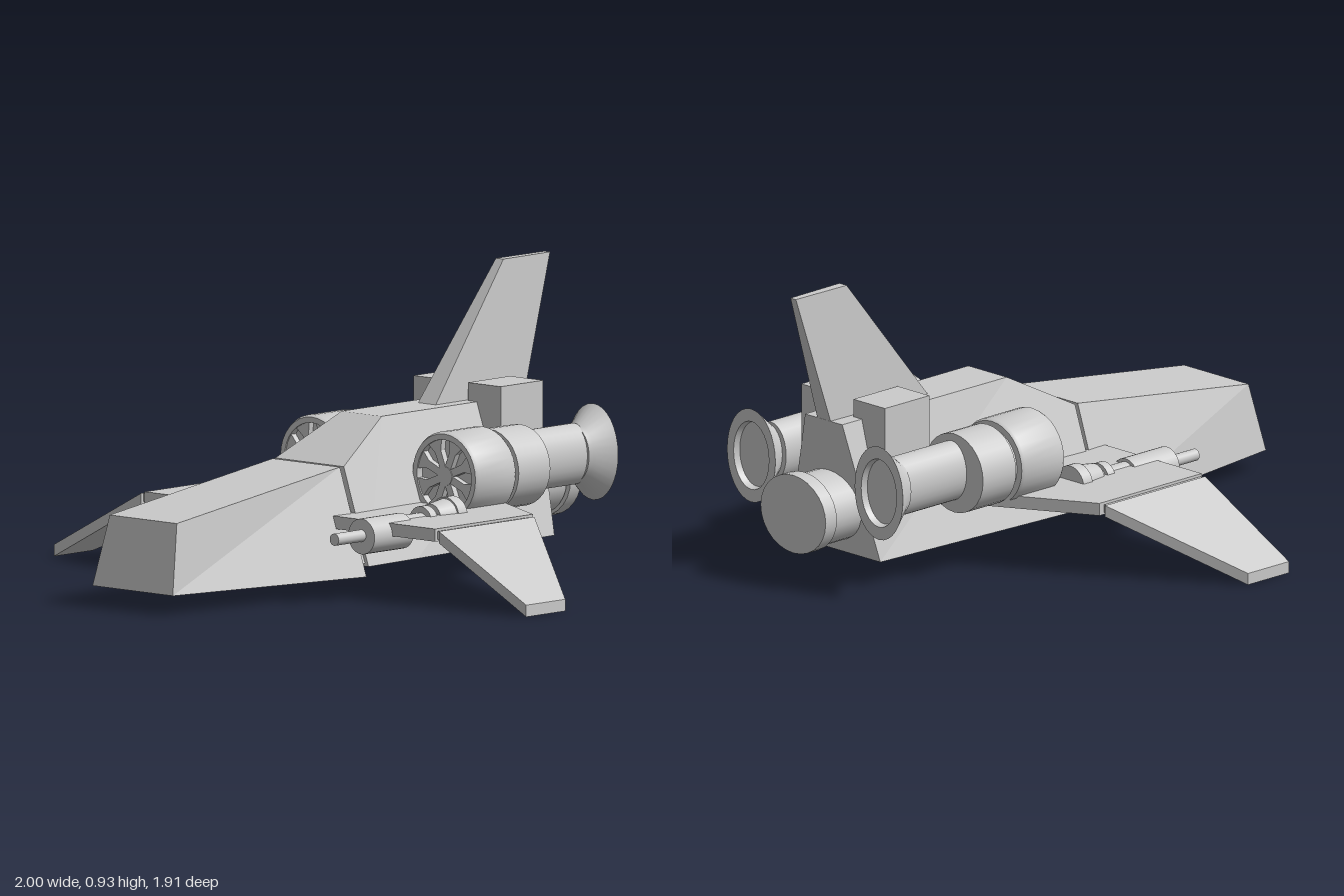
import * as THREE from 'three';
import { toCreasedNormals } from 'three/addons/utils/BufferGeometryUtils.js';

const grey = new THREE.MeshStandardMaterial({ color: 0xcccccc });
const faceted = new THREE.MeshStandardMaterial({ color: 0xcccccc, flatShading: true });
const twoSided = new THREE.MeshStandardMaterial({ color: 0xcccccc, side: THREE.DoubleSide });

function add(parent, name, geometry, material = grey) {
  const mesh = new THREE.Mesh(geometry, material);
  mesh.name = name;
  parent.add(mesh);
  return mesh;
}

// Solid skinned over a list of four-cornered cross-sections, always facing outward
function loft(sections) {
  const tris = [];
  const quad = (a, b, c, d) => tris.push([a, b, c], [a, c, d]);
  for (let i = 0; i < sections.length - 1; i++) {
    const p = sections[i], q = sections[i + 1];
    for (let j = 0; j < 4; j++) {
      const k = (j + 1) % 4;
      quad(p[j], q[j], q[k], p[k]);
    }
  }
  const last = sections[sections.length - 1];
  quad(...sections[0]);
  quad(last[3], last[2], last[1], last[0]);
  const v = (p) => new THREE.Vector3(...p);
  let volume = 0;
  for (const [a, b, c] of tris) volume += v(a).dot(v(b).cross(v(c)));
  const ordered = volume < 0 ? tris.map(([a, b, c]) => [a, c, b]) : tris;
  const geo = new THREE.BufferGeometry();
  geo.setAttribute('position', new THREE.Float32BufferAttribute(ordered.flat(2), 3));
  geo.computeVertexNormals();
  return geo;
}

// Symmetric hull section: bottom and top half-widths, heights and depths
const frame = (wb, yb, zb, wt, yt, zt) =>
  [[-wb, yb, zb], [wb, yb, zb], [wt, yt, zt], [-wt, yt, zt]];

// Cylinder or cone lying along z
function rod(parent, name, x, y, zFront, zBack, rFront, rBack = rFront, ySquash = 1) {
  const geo = new THREE.CylinderGeometry(rFront, rBack, zFront - zBack, 28);
  geo.rotateX(Math.PI / 2);
  geo.scale(1, ySquash, 1);
  geo.translate(x, y, (zFront + zBack) / 2);
  return add(parent, name, geo);
}

// Turned part along z from [radius, z] points
function turned(parent, name, x, y, profile, ySquash = 1) {
  const geo = new THREE.LatheGeometry(profile.map(([r, z]) => new THREE.Vector2(r, z)), 32);
  geo.rotateX(Math.PI / 2);
  geo.scale(1, ySquash, 1);
  geo.translate(x, y, 0);
  return add(parent, name, toCreasedNormals(geo, 0.6), twoSided);
}

function makeWing(s) {
  const wing = new THREE.Group();
  wing.name = s > 0 ? 'leftWing' : 'rightWing';
  // chord section at x, from leading to trailing edge
  const chord = (x, zf, zb, yt, yb) =>
    [[s * x, yb, zf], [s * x, yt, zf], [s * x, yt, zb], [s * x, yb, zb]];
  add(wing, 'innerPanel', loft([
    chord(0.1, 0.23, -0.5, 0.243, 0.203), chord(0.615, 0.23, -0.22, 0.243, 0.203),
  ]), faceted);
  add(wing, 'outerPanel', loft([
    chord(0.63, 0.23, -0.21, 0.237, 0.2), chord(1, 0.23, 0.05, 0.04, 0.003),
  ]), faceted);
  rod(wing, 'hinge', s * 0.622, 0.222, 0.22, -0.2, 0.014);
  return wing;
}

function makeEngine(s) {
  const engine = new THREE.Group();
  engine.name = s > 0 ? 'leftEngine' : 'rightEngine';
  const x = s * 0.28, y = 0.335;
  // intake cowl with a shallow open mouth
  turned(engine, 'intakeCowl', x, y, [
    [0, -0.36], [0.133, -0.36], [0.139, -0.35], [0.139, -0.185], [0.133, -0.175],
    [0.115, -0.175], [0.115, -0.2], [0, -0.2],
  ]);
  rod(engine, 'intakeHub', x, y, -0.178, -0.205, 0.03);
  // fan blades
  const blade = new THREE.Shape([
    new THREE.Vector2(-0.012, 0.02), new THREE.Vector2(0.012, 0.02),
    new THREE.Vector2(0.013, 0.08), new THREE.Vector2(0.032, 0.116),
    new THREE.Vector2(-0.032, 0.116), new THREE.Vector2(-0.013, 0.08),
  ]);
  for (let i = 0; i < 8; i++) {
    const geo = new THREE.ExtrudeGeometry(blade, { depth: 0.022, bevelEnabled: false });
    geo.rotateZ((i * Math.PI) / 4 + Math.PI / 8);
    geo.translate(x, y, -0.202);
    add(engine, 'fanBlade', geo);
  }
  rod(engine, 'neck', x, y, -0.35, -0.39, 0.112);
  rod(engine, 'compressor', x, y, -0.38, -0.525, 0.128);
  rod(engine, 'exhaustBarrel', s * 0.268, 0.342, -0.52, -0.785, 0.067, 0.067, 1.44);
  // flared oval exhaust with a recessed disc
  turned(engine, 'exhaustFlare', s * 0.282, 0.342, [
    [0, -0.775], [0.06, -0.775], [0.066, -0.79], [0.107, -0.858],
    [0.078, -0.858], [0.074, -0.835], [0, -0.835],
  ], 1.42);
  return engine;
}

function makeGun(s) {
  const gun = new THREE.Group();
  gun.name = s > 0 ? 'leftGun' : 'rightGun';
  const x = s * 0.378;
  rod(gun, 'muzzle', x, 0.208, 0.437, 0.3, 0.019);
  rod(gun, 'housing', x, 0.205, 0.312, 0.13, 0.056);
  rod(gun, 'barrel', x, 0.22, 0.14, 0.02, 0.032);
  rod(gun, 'frontCollar', x, 0.225, 0.04, 0.01, 0.047);
  rod(gun, 'link', x, 0.225, 0.015, -0.02, 0.035);
  rod(gun, 'breech', x, 0.23, -0.005, -0.075, 0.045, 0.055);
  rod(gun, 'rearCollar', x, 0.23, -0.072, -0.112, 0.06);
  return gun;
}

export function createModel() {
  const ship = new THREE.Group();
  ship.name = 'spacecraft';

  // Nose and main hull, with a narrow seam between them
  add(ship, 'nose', loft([
    frame(0.17, 0.065, 0.954, 0.142, 0.285, 0.905),
    frame(0.255, 0.05, 0.155, 0.142, 0.385, 0.155),
  ]), faceted);
  add(ship, 'seam', loft([
    frame(0.235, 0.09, 0.17, 0.13, 0.365, 0.17),
    frame(0.235, 0.09, 0.12, 0.13, 0.365, 0.12),
  ]), faceted);
  add(ship, 'hull', loft([
    frame(0.25, 0.08, 0.14, 0.145, 0.385, 0.14),
    frame(0.238, 0.08, -0.1, 0.085, 0.513, -0.1),
    frame(0.2, 0.08, -0.77, 0.082, 0.513, -0.82),
  ]), faceted);

  // Tail fin, thinner at the top
  const finLevel = (y, zf, zb, wf, wb) => [[-wf, y, zf], [wf, y, zf], [wb, y, zb], [-wb, y, zb]];
  add(ship, 'tailFin', loft([
    finLevel(0.5, -0.39, -0.815, 0.038, 0.03), finLevel(0.935, -0.735, -0.954, 0.016, 0.012),
  ]), faceted);

  // Rear main thruster
  rod(ship, 'thrusterBody', 0, 0.23, -0.7, -0.9, 0.132, 0.132, 0.87);
  rod(ship, 'thrusterRim', 0, 0.233, -0.905, -0.954, 0.144, 0.144, 0.88);
  rod(ship, 'thrusterNeck', 0, 0.23, -0.89, -0.91, 0.124, 0.124, 0.87);

  for (const s of [1, -1]) {
    const box = new THREE.BoxGeometry(0.14, 0.24, 0.195);
    add(ship, s > 0 ? 'leftEquipmentBox' : 'rightEquipmentBox', box.translate(s * 0.115, 0.45, -0.637));
    ship.add(makeWing(s), makeEngine(s), makeGun(s));
  }
  return ship;
}
